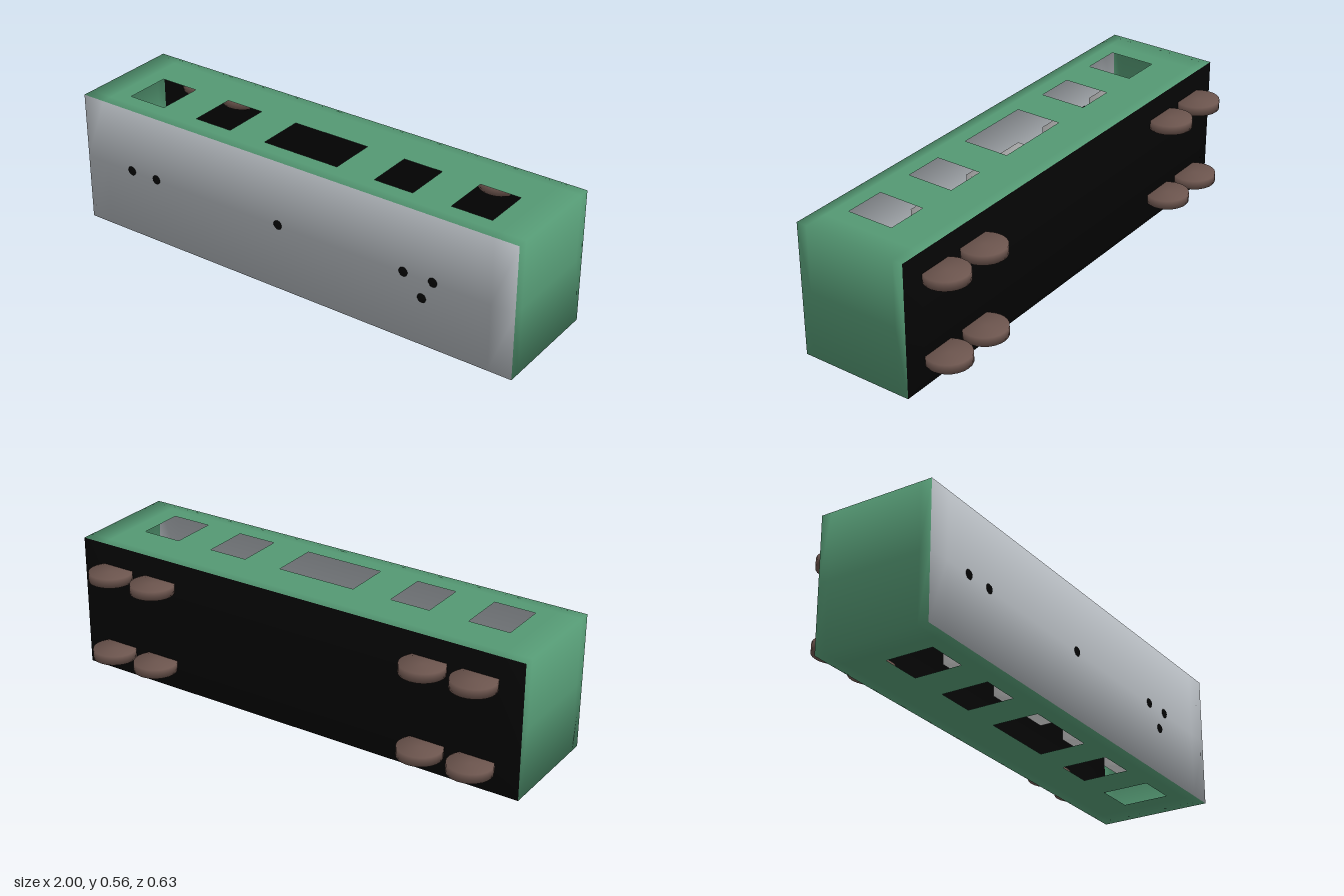
import * as THREE from 'three';
import { mergeVertices } from 'three/addons/utils/BufferGeometryUtils.js';

const mat = (color, side = THREE.FrontSide) => new THREE.MeshStandardMaterial({ color, side });

// Window openings: [x start, x end], all sharing one z range
const WINDOWS = [[-0.838, -0.668], [-0.502, -0.335], [-0.168, 0.168], [0.335, 0.502], [0.665, 0.835]];
const WIN_Z = [0.012, 0.208];
const H = 0.555;

// Grid lines of the hollow body along x, y and z
const LINES = [
  [-1, -0.9, ...WINDOWS.flat(), 0.9, 1],
  [0, 0.28, H],
  [-0.174, -0.13, ...WIN_Z, 0.26, 0.305],
];

// One wall of the body, perpendicular to an axis, with normals softened at its rim
function wall(axis, sign, isHole = () => false) {
  const ua = (axis + 1) % 3, va = (axis + 2) % 3;
  const us = LINES[ua], vs = LINES[va];
  const pos = [], nor = [], idx = [];
  for (const v of vs) for (const u of us) {
    const p = [0, 0, 0], n = [0, 0, 0];
    p[axis] = sign > 0 ? LINES[axis].at(-1) : LINES[axis][0];
    p[ua] = u;
    p[va] = v;
    n[axis] = sign;
    for (const a of [ua, va]) {
      if (p[a] === LINES[a][0]) n[a] = -1;
      if (p[a] === LINES[a].at(-1)) n[a] = 1;
    }
    pos.push(...p);
    nor.push(...new THREE.Vector3(...n).normalize().toArray());
  }
  for (let j = 0; j < vs.length - 1; j++) for (let i = 0; i < us.length - 1; i++) {
    if (isHole((us[i] + us[i + 1]) / 2, (vs[j] + vs[j + 1]) / 2)) continue;
    const a = j * us.length + i, b = a + 1, d = a + us.length, c = d + 1;
    idx.push(...(sign > 0 ? [a, b, c, a, c, d] : [a, c, b, a, d, c]));
  }
  const g = new THREE.BufferGeometry();
  g.setAttribute('position', new THREE.Float32BufferAttribute(pos, 3));
  g.setAttribute('normal', new THREE.Float32BufferAttribute(nor, 3));
  g.setIndex(idx);
  return g;
}

// Share normals across every edge of a closed solid
function softened(geometry) {
  geometry.deleteAttribute('normal');
  geometry.deleteAttribute('uv');
  const g = mergeVertices(geometry);
  g.computeVertexNormals();
  return g;
}

export function createModel() {
  const group = new THREE.Group();
  const add = (name, geometry, material, x = 0, y = 0, z = 0) => {
    const mesh = new THREE.Mesh(geometry, material);
    mesh.name = name;
    mesh.position.set(x, y, z);
    group.add(mesh);
    return mesh;
  };

  const green = mat(0x549873, THREE.DoubleSide);
  const black = mat(0x040404, THREE.DoubleSide);
  const roofGrey = mat(0xb0b5ba, THREE.DoubleSide);
  const glass = mat(0xcccccc);
  const brown = mat(0x6b544d);

  // Carriage shell, lying on its side: roof faces +z, floor faces -z
  const inWindow = (z, x) =>
    z > WIN_Z[0] && z < WIN_Z[1] && WINDOWS.some(([a, b]) => x > a && x < b);
  add('leftEnd', wall(0, 1), green);
  add('rightEnd', wall(0, -1), green);
  add('upperSide', wall(1, 1, inWindow), green);
  add('lowerSide', wall(1, -1, inWindow), green);
  add('roof', wall(2, 1), roofGrey);
  add('floor', wall(2, -1), black);

  // Window blocks, set deep inside the carriage behind each pair of openings
  const [low, high] = [0.12, 0.41];
  for (const [a, b] of WINDOWS) {
    const block = softened(new THREE.BoxGeometry(b - a, high - low, WIN_Z[1] - WIN_Z[0]));
    add('windowBlock', block, glass, (a + b) / 2, (low + high) / 2, (WIN_Z[0] + WIN_Z[1]) / 2);
  }

  // Small domes on the roof
  const dome = new THREE.SphereGeometry(0.0255, 20, 14);
  const domes = [[-0.768, 0.283], [-0.641, 0.283], [-0.038, 0.283], [0.531, 0.283], [0.658, 0.283], [0.613, 0.2]];
  for (const [x, y] of domes) add('roofDome', dome, black, x, y, 0.2885);

  // Wheels: slightly tilted discs sunk into the floor
  const disc = softened(new THREE.CylinderGeometry(0.0885, 0.0885, 0.037, 24));
  for (const x of [-0.825, -0.615, 0.617, 0.828])
    for (const y of [0.108, 0.449])
      add('wheel', disc, brown, x, y, -0.2245).rotation.x = 0.03;

  return group;
}
